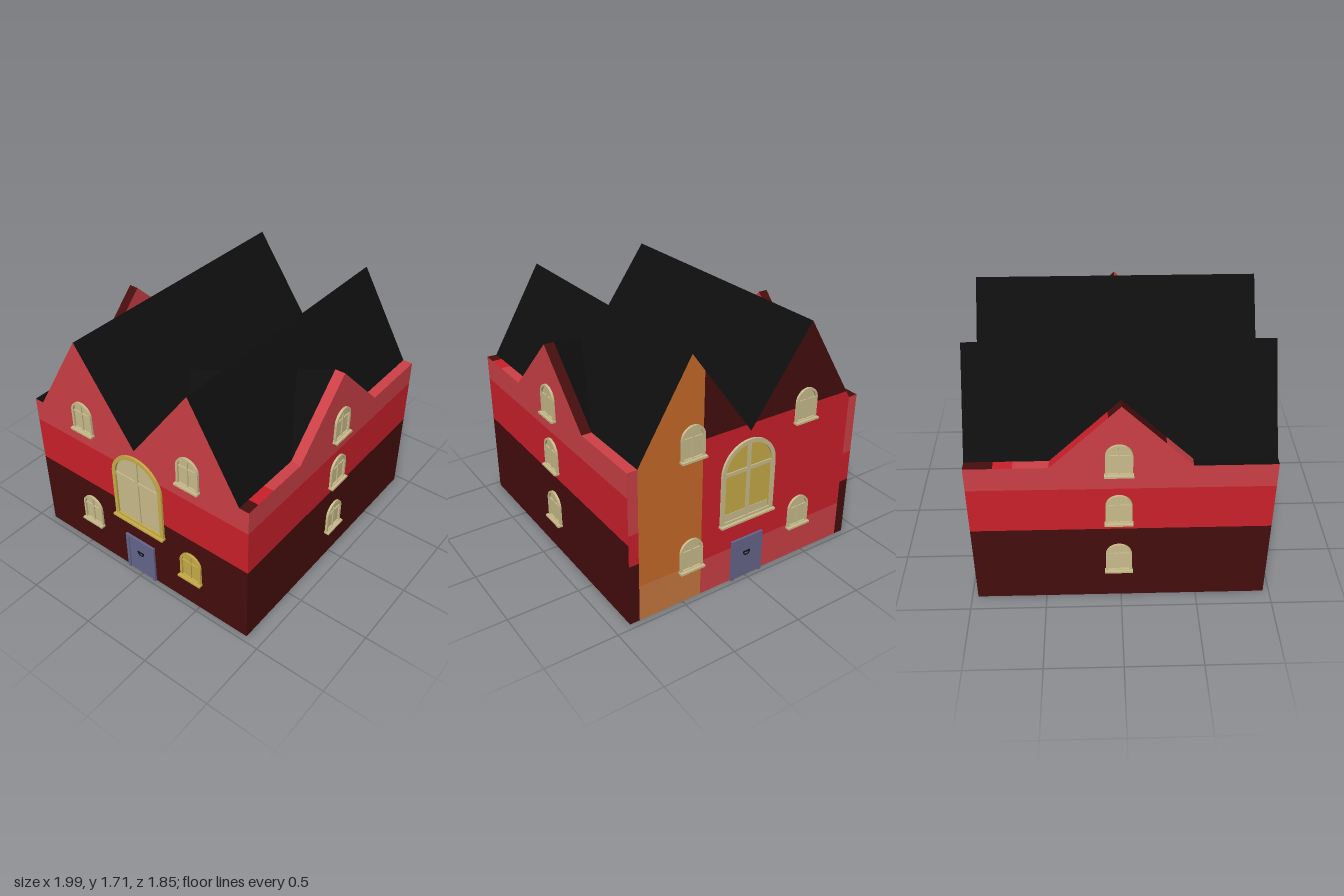
import * as THREE from 'three';

const M = {};
const colours = {
  maroon: 0x460d0d, red: 0xcc202a, lightRed: 0xcd4046, orange: 0xc86a2a, paleOrange: 0xc87941,
  black: 0x0e0e0e, tan: 0xcabd8c, yellow: 0xc8ac48, blue: 0x66668c, grey: 0xc0c0c0,
};
for (const name in colours) {
  M[name] = new THREE.MeshStandardMaterial({ color: colours[name] });
  M[name].name = name;
}
M.black.side = THREE.DoubleSide;

const X = 0.96, Z = 0.82, ZO = 0.89, EAVE = 1.09, RIDGE = 1.71, GABLE = 1.53, GX = 0.44;
const ZF = 0.45, ZB = -0.44; // ridge positions

// Flat convex face whose corners are ordered to look along "out"
function face(parent, name, mat, pts, out) {
  const v = pts.map(p => new THREE.Vector3(...p));
  const n = v[1].clone().sub(v[0]).cross(v[2].clone().sub(v[0]));
  if (n.dot(new THREE.Vector3(...out)) < 0) v.reverse();
  const tri = [];
  for (let i = 1; i < v.length - 1; i++) tri.push(v[0], v[i], v[i + 1]);
  const g = new THREE.BufferGeometry().setFromPoints(tri);
  g.computeVertexNormals();
  const m = new THREE.Mesh(g, mat);
  m.name = name;
  parent.add(m);
}
const rect = (a0, b0, a1, b1) => [[a0, b0], [a1, b0], [a1, b1], [a0, b1]];

// Faces in the planes z = const and x = const
const zFace = (p, name, mat, pts, z, dir) => face(p, name, mat, pts.map(([x, y]) => [x, y, z]), [0, 0, dir]);
const xFace = (p, name, mat, pts, x, dir) => face(p, name, mat, pts.map(([z, y]) => [x, y, z]), [dir, 0, 0]);

function box(parent, name, mat, w, h, d, x, y, z) {
  const m = new THREE.Mesh(new THREE.BoxGeometry(w, h, d), mat);
  m.position.set(x, y, z);
  m.name = name;
  parent.add(m);
}

function arch(w, h, inset, Type = THREE.Shape) {
  const r = w / 2 - inset, s = new Type();
  s.moveTo(-r, inset);
  s.lineTo(r, inset);
  s.lineTo(r, h - w / 2);
  s.absarc(0, h - w / 2, r, 0, Math.PI, false);
  s.closePath();
  return s;
}

// Arched window facing +z, standing on its sill
function makeWindow(name, w, h, frameMat, paneMat, barMat) {
  const g = new THREE.Group(), t = w > 0.3 ? 0.028 : 0.016;
  g.name = name;
  const outline = arch(w, h, 0);
  outline.holes.push(arch(w, h, t, THREE.Path));
  const frame = new THREE.Mesh(new THREE.ExtrudeGeometry(outline, { depth: 0.016, bevelEnabled: false, curveSegments: 16 }), frameMat);
  frame.name = 'windowFrame';
  const pane = new THREE.Mesh(new THREE.ShapeGeometry(arch(w, h, t), 16), paneMat);
  pane.position.z = 0.003;
  pane.name = 'windowPane';
  g.add(frame, pane);
  box(g, 'verticalBar', barMat, w * 0.06, h - t, 0.01, 0, h / 2, 0.006);
  box(g, 'crossBar', barMat, w - t, w * 0.06, 0.01, 0, h * 0.64, 0.006);
  box(g, 'windowSill', frameMat, w + 0.012, 0.014, 0.036, 0, 0.005, 0.018);
  return g;
}

function makeDoor() {
  const g = new THREE.Group();
  g.name = 'door';
  box(g, 'doorPanel', M.blue, 0.2, 0.29, 0.008, 0, 0.145, 0.004);
  for (const s of [-1, 1]) box(g, 'doorPost', M.blue, 0.024, 0.31, 0.016, s * 0.113, 0.155, 0.008);
  box(g, 'doorLintel', M.blue, 0.25, 0.02, 0.016, 0, 0.3, 0.008);
  const knocker = new THREE.Mesh(new THREE.TorusGeometry(0.024, 0.004, 6, 14, Math.PI), M.black);
  knocker.rotation.z = Math.PI;
  knocker.position.set(0, 0.19, 0.01);
  knocker.name = 'doorKnocker';
  g.add(knocker);
  box(g, 'knockerBar', M.black, 0.056, 0.008, 0.008, 0, 0.193, 0.01);
  return g;
}

// Striped front or back wall with its central gable
function makeGableWall(dir) {
  const g = new THREE.Group(), zo = dir * ZO, zi = dir * Z;
  g.name = dir > 0 ? 'frontWall' : 'backWall';
  zFace(g, 'lowerBand', M.maroon, rect(-X, 0, X, 0.59), zo, dir);
  zFace(g, 'middleBand', M.red, rect(-X, 0.59, X, 0.92), zo, dir);
  zFace(g, 'upperBand', M.lightRed, rect(-X, 0.92, X, EAVE), zo, dir);
  const tri = [[-GX, EAVE], [GX, EAVE], [0, GABLE]];
  zFace(g, 'gable', M.lightRed, tri, zo, dir);
  zFace(g, 'gableBack', M.lightRed, tri, zi, -dir);
  zFace(g, 'wallLining', M.black, rect(-X, 0, X, EAVE), zi, -dir);
  // wall ends
  const end = (mat, y0, y1, s) => xFace(g, 'wallEnd', mat, rect(zi, y0, zo, y1), s * X, s);
  end(M.maroon, 0, 0.435, 1);
  end(M.red, 0.435, 0.66, 1);
  end(M.lightRed, 0.66, EAVE, 1);
  end(M.maroon, 0, 0.59, -1);
  end(M.red, 0.59, 0.92, -1);
  end(M.lightRed, 0.92, EAVE, -1);
  // coping along the wall top
  const yAt = x => EAVE + (GABLE - EAVE) * Math.max(0, 1 - Math.abs(x) / GX);
  const top = dir > 0
    ? [[-X, -0.87, 'maroon'], [-0.87, -0.72, 'red'], [-0.72, -GX, 'lightRed'], [-GX, 0, 'lightRed'], [0, GX, 'maroon'], [GX, X, 'lightRed']]
    : [[-X, -GX, 'black'], [-GX, -0.27, 'lightRed'], [-0.27, 0, 'maroon'], [0, 0.08, 'maroon'], [0.08, GX, 'red'],
      [GX, 0.66, 'lightRed'], [0.66, 0.78, 'red'], [0.78, X, 'maroon']];
  for (const [a, b, c] of top)
    face(g, 'wallCoping', M[c], [[a, yAt(a), zi], [b, yAt(b), zi], [b, yAt(b), zo], [a, yAt(a), zo]], [0, 1, 0]);
  return g;
}

export function createModel() {
  const house = new THREE.Group();
  house.name = 'house';
  house.add(makeGableWall(1), makeGableWall(-1));

  // left side wall, with the orange corner
  const left = new THREE.Group();
  left.name = 'leftWall';
  const L = (name, mat, pts) => xFace(left, name, mat, pts, X, 1);
  L('orangeBase', M.paleOrange, rect(0.36, 0, Z, 0.26));
  L('orangeCorner', M.orange, [[0.36, 0.26], [Z, 0.26], [Z, EAVE], [ZF, RIDGE], [0.36, 1.586]]);
  L('wallBase', M.lightRed, rect(-Z, 0, 0.36, 0.26));
  L('wallMiddle', M.red, rect(-Z, 0.26, 0.36, EAVE));
  L('gableFoot', M.red, [[0, EAVE], [0.36, EAVE], [0.36, 1.14], [0.036, 1.14]]);
  L('gableFoot', M.red, [[-Z, EAVE], [0, EAVE], [-0.036, 1.14], [-0.79, 1.14]]);
  L('gablePeak', M.maroon, [[0.036, 1.14], [0.36, 1.14], [0.36, 1.586]]);
  L('gablePeak', M.maroon, [[-0.79, 1.14], [-0.036, 1.14], [ZB, RIDGE]]);
  house.add(left);

  // right side wall, with plain stripes
  const right = new THREE.Group();
  right.name = 'rightWall';
  const R = (name, mat, pts) => xFace(right, name, mat, pts, -X, -1);
  R('lowerBand', M.maroon, rect(-Z, 0, Z, 0.59));
  R('middleBand', M.red, rect(-Z, 0.59, Z, 0.92));
  R('upperBand', M.lightRed, rect(-Z, 0.92, Z, EAVE));
  R('gablePeak', M.lightRed, [[0, EAVE], [Z, EAVE], [ZF, RIDGE]]);
  R('gablePeak', M.lightRed, [[-Z, EAVE], [0, EAVE], [ZB, RIDGE]]);
  house.add(right);

  // inner linings and the rim under the walls
  const inside = new THREE.Group(), XI = 0.935;
  inside.name = 'interior';
  xFace(inside, 'leftLining', M.black, rect(-Z, 0, Z, EAVE), XI, -1);
  xFace(inside, 'greyLining', M.grey, rect(-0.02, 0, Z, EAVE), -XI, 1);
  xFace(inside, 'orangeLiningBase', M.paleOrange, rect(-Z, 0, -0.02, 0.26), -XI, 1);
  xFace(inside, 'orangeLining', M.orange, rect(-Z, 0.26, -0.02, EAVE), -XI, 1);
  for (const s of [-1, 1]) {
    face(inside, 'sideRim', M.black, [[s * XI, 0, -Z], [s * X, 0, -Z], [s * X, 0, Z], [s * XI, 0, Z]], [0, -1, 0]);
    face(inside, 'endRim', M.black, [[-X, 0, s * Z], [X, 0, s * Z], [X, 0, s * ZO], [-X, 0, s * ZO]], [0, -1, 0]);
  }
  house.add(inside);

  // twin roof, front dormer and small valley roof
  const roof = new THREE.Group();
  roof.name = 'roof';
  const prof = [[Z, EAVE], [ZF, RIDGE], [0, EAVE], [ZB, RIDGE], [-Z, EAVE]];
  for (let i = 0; i < 4; i++) {
    const [z0, y0] = prof[i], [z1, y1] = prof[i + 1];
    face(roof, 'roofSlope', M.black, [[-X, y0, z0], [X, y0, z0], [X, y1, z1], [-X, y1, z1]], [0, 1, 0]);
  }
  const tip = [-0.07, 1.475, 0.59], front = [0, GABLE, Z];
  for (const s of [-1, 1]) face(roof, 'dormerSlope', M.black, [[s * GX, EAVE, Z], front, tip], [0, 1, 0]);
  const p = [-0.22, 1.365, 0.2], q = [-0.26, 1.275, -0.13];
  for (const x of [-0.44, 0]) face(roof, 'valleySlope', M.black, [[x, EAVE, 0], p, q], [0, 1, 0]);
  house.add(roof);

  // windows and doors
  const place = (obj, x, y, z, turn) => {
    obj.position.set(x, y, z);
    obj.rotation.y = turn;
    house.add(obj);
  };
  for (const y of [0.23, 0.64, 1.03]) {
    place(makeWindow('frontWindow', 0.17, 0.23, M.tan, M.tan, M.tan), 0.015, y, ZO, 0);
    place(makeWindow('backWindow', 0.17, 0.23, M.tan, M.tan, M.tan), 0.015, y, -ZO, Math.PI);
  }
  for (const s of [-1, 1]) {
    const turn = s * Math.PI / 2;
    for (const y of [0.235, 1.035]) for (const z of [-0.435, 0.44]) {
      const c = s < 0 && y < 1 && z > 0 ? M.yellow : M.tan;
      place(makeWindow('sideWindow', 0.17, 0.23, c, c, c), s * X, y, z, turn);
    }
    const big = s > 0 ? makeWindow('largeWindow', 0.42, 0.58, M.tan, M.yellow, M.tan)
      : makeWindow('largeWindow', 0.42, 0.58, M.yellow, M.tan, M.tan);
    if (s > 0) box(big, 'lowerPanel', M.tan, 0.34, 0.06, 0.004, 0, 0.05, 0.004);
    place(big, s * X, 0.46, 0.01, turn);
    place(makeDoor(), s * X, 0, -0.005, turn);
  }
  return house;
}
